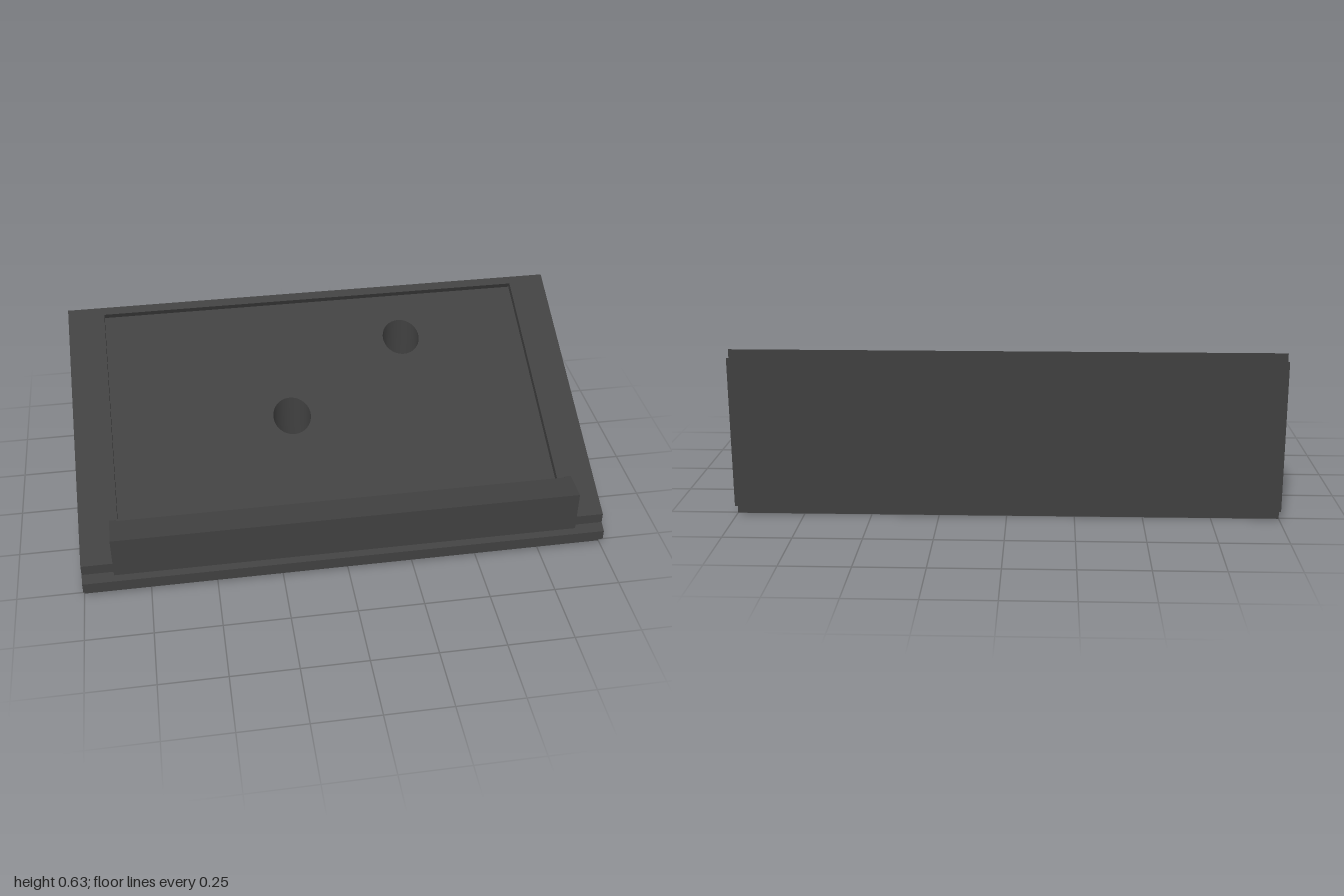
import * as THREE from 'three';
import { toCreasedNormals } from 'three/addons/utils/BufferGeometryUtils.js';

const SLOPE = 0.478;
const RECESS_X = 0.855; // half width of the recess
const LEDGE_X = 0.88;   // half width of the front ledge

// Extrudes a [z, y] side profile from x0 to x1.
function extrudeProfile(points, x0, x1) {
  const shape = new THREE.Shape(points.map(([z, y]) => new THREE.Vector2(-z, y)));
  const geo = new THREE.ExtrudeGeometry(shape, { depth: x1 - x0, bevelEnabled: false });
  return geo.rotateY(Math.PI / 2).translate(x0, 0, 0);
}

export function createModel() {
  const model = new THREE.Group();
  model.name = 'slopedStand';
  const charcoal = new THREE.MeshStandardMaterial({ color: 0x404040 });
  charcoal.name = 'charcoal';
  const add = (name, geo) => {
    const mesh = new THREE.Mesh(geo, charcoal);
    mesh.name = name;
    model.add(mesh);
  };

  // Stepped and notched edges shared by the cheeks and the rails
  const backEdge = [[-0.505, 0], [-0.505, 0.042], [-0.545, 0.042], [-0.545, 0.603], [-0.51, 0.587], [-0.51, 0.626]];
  const frontEdge = [[0.51, 0.138], [0.51, 0.098], [0.545, 0.081], [0.545, 0.042], [0.507, 0.042], [0.507, 0]];

  // Full-height sides of the wedge
  add('leftCheek', extrudeProfile([...backEdge, ...frontEdge], RECESS_X, 1));
  add('rightCheek', extrudeProfile([...backEdge, ...frontEdge], -1, -RECESS_X));

  // Rails closing the recess above and below, walls square to the slope
  add('backRail', extrudeProfile([...backEdge, [-0.48, 0.611], [-0.491, 0.589], [-0.491, 0]], -RECESS_X, RECESS_X));
  add('frontRail', extrudeProfile([[0.379, 0], [0.379, 0.173], [0.39, 0.195], ...frontEdge], -RECESS_X, RECESS_X));

  // Recessed centre with two vertical through holes
  const plan = new THREE.Shape([
    new THREE.Vector2(-RECESS_X, -0.379), new THREE.Vector2(RECESS_X, -0.379),
    new THREE.Vector2(RECESS_X, 0.491), new THREE.Vector2(-RECESS_X, 0.491),
  ]);
  for (const [x, z] of [[-0.143, -0.011], [0.352, -0.305]]) {
    plan.holes.push(new THREE.Path().absarc(x, -z, 0.075, 0, Math.PI * 2, true));
  }
  const centre = new THREE.ExtrudeGeometry(plan, { depth: 1, bevelEnabled: false, curveSegments: 24 });
  centre.rotateX(-Math.PI / 2);
  const pos = centre.attributes.position;
  for (let i = 0; i < pos.count; i++) { // lay the top on the slope
    if (pos.getY(i) > 0.5) pos.setY(i, 0.173 + SLOPE * (0.379 - pos.getZ(i)));
  }
  add('recessedPanel', toCreasedNormals(centre, 0.6));

  // Ledge along the front, its back edge trimmed between the ends
  const ledgeBase = [[0.428, 0.112], [0.545, 0.112], [0.545, 0.277]];
  add('ledge', extrudeProfile([...ledgeBase, [0.434, 0.277], [0.428, 0.264]], -RECESS_X, RECESS_X));
  add('ledgeLeftEnd', extrudeProfile([...ledgeBase, [0.428, 0.277]], RECESS_X, LEDGE_X));
  add('ledgeRightEnd', extrudeProfile([...ledgeBase, [0.428, 0.277]], -LEDGE_X, -RECESS_X));

  return model;
}
